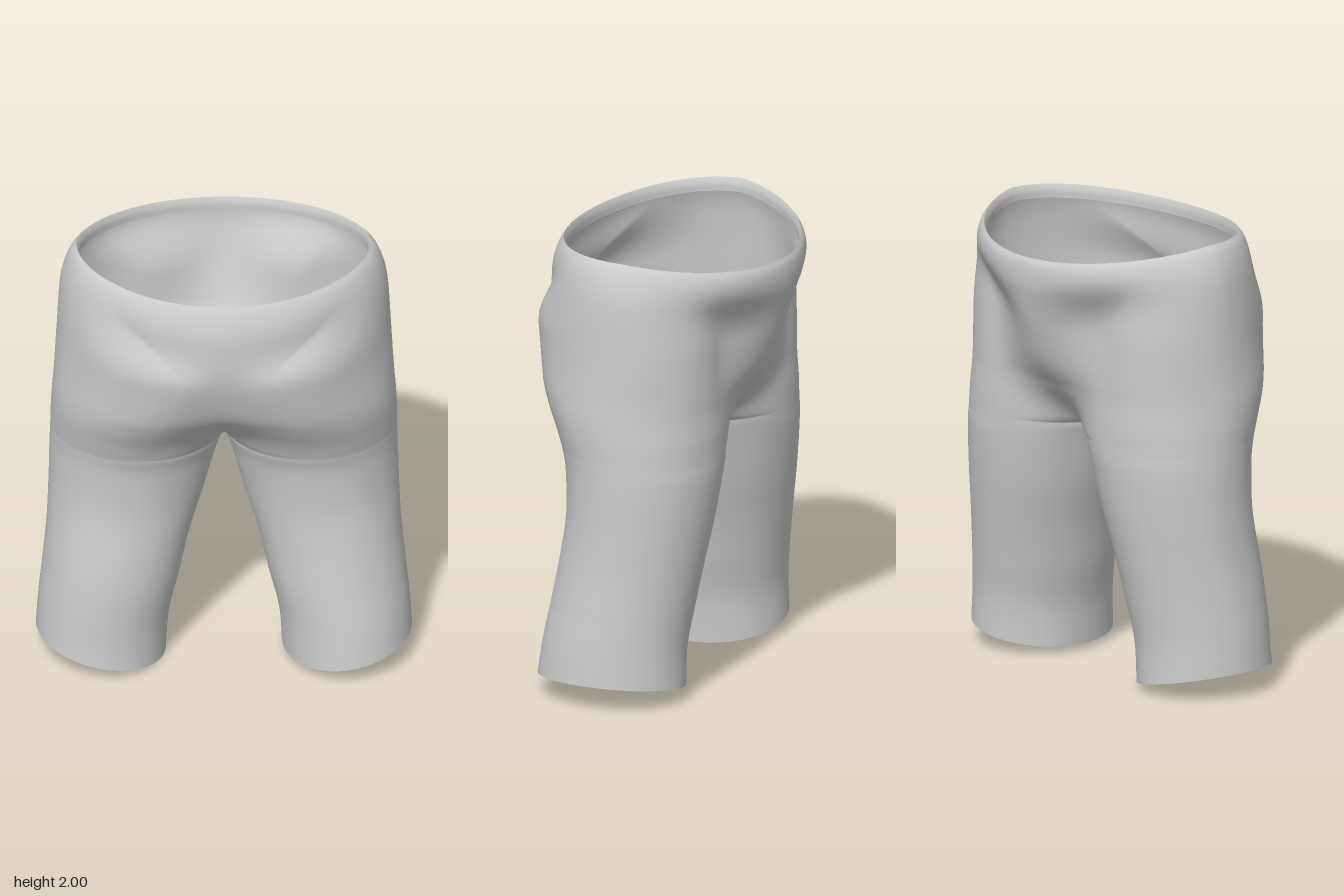
import * as THREE from 'three';
import { mergeVertices } from 'three/addons/utils/BufferGeometryUtils.js';

const COLS = 64, STEPS = 5, CROTCH = 1.09;

// Height, inner x, outer x, front lobe z, back lobe z, centre-line front z, centre-line back z
const KEYS = [
  [0.00, 0.250, 0.810, 0.405, -0.25, 0.06, 0.06],
  [0.20, 0.235, 0.800, 0.385, -0.25, 0.06, 0.06],
  [0.40, 0.190, 0.785, 0.36, -0.27, 0.05, 0.05],
  [0.60, 0.145, 0.765, 0.33, -0.30, 0.03, 0.03],
  [0.80, 0.085, 0.755, 0.31, -0.33, 0.01, 0.01],
  [1.00, 0.030, 0.750, 0.322, -0.352, 0, 0],
  [CROTCH, 0, 0.747, 0.343, -0.355, 0, 0],
  [1.12, 0, 0.746, 0.352, -0.355, 0.12, -0.13],
  [1.20, 0, 0.745, 0.388, -0.355, 0.25, -0.24],
  [1.30, 0, 0.740, 0.445, -0.35, 0.38, -0.34],
  [1.40, 0, 0.732, 0.49, -0.35, 0.46, -0.41],
  [1.60, 0, 0.720, 0.535, -0.345, 0.52, -0.48],
  [1.80, 0, 0.708, 0.53, -0.34, 0.525, -0.52],
  [1.90, 0, 0.690, 0.515, -0.345, 0.515, -0.53],
  [1.97, 0, 0.662, 0.49, -0.37, 0.49, -0.525],
  [2.00, 0, 0.635, 0.46, -0.39, 0.47, -0.51],
];

const { lerp, smoothstep } = THREE.MathUtils;

// Smooth interpolation of the key rows
function section(u) {
  const i = Math.min(Math.floor(u), KEYS.length - 2), t = u - i;
  const key = (k) => KEYS[Math.max(0, Math.min(KEYS.length - 1, k))];
  const [a, b, c, d] = [key(i - 1), key(i), key(i + 1), key(i + 2)];
  return b.map((p, k) => p + 0.5 * t * (c[k] - a[k] +
    t * (2 * a[k] - 5 * p + 4 * c[k] - d[k] + t * (3 * (p - c[k]) + d[k] - a[k]))));
}

// One half outline: front centre, round the outer hip, to the back centre
function sectionPoint(u, j, side) {
  let [y, xi, xo, zf, zb, cf, cb] = section(u);
  xi = Math.max(0, xi);
  const isLeg = y <= CROTCH + 1e-6;
  if (isLeg) cf = cb = (cf + cb) / 2;
  if (side < 0) zf -= 0.05 * (1 - smoothstep(y, 0, 0.6));
  const q = COLS / 4;
  const front = j <= COLS / 2;
  const lobe = front ? zf : zb, centre = front ? cf : cb;
  const w = smoothstep(y, CROTCH, 1.6);
  const cx = lerp((xi + xo) / 2, front ? 0.19 : 0.38, w);
  const zMid = lerp((zf + zb) / 2, 0.02, w);
  const t = (front ? j : COLS - j) / q;
  let x, z;
  if (t <= 1) {
    // Round inner leg, cut by the middle above the crotch, easing into a soft valley or bulge
    const zRoot = isLeg ? centre : 0;
    const a0 = Math.asin(Math.min(0.95, (centre - zRoot) / (lobe - zRoot)));
    const a = lerp(a0, Math.PI / 2, t), soft = smoothstep(y, CROTCH, 1.45);
    x = lerp(cx - (cx - xi) * Math.cos(a) / Math.cos(a0), xi + (cx - xi) * t, soft);
    z = lerp(zRoot + (lobe - zRoot) * Math.sin(a), centre + (lobe - centre) * smoothstep(t, 0, 1), soft);
  } else {
    // Outer leg and hip, tapering more on the seat
    const a = (t - 1) * Math.PI / 2;
    x = cx + (xo - cx) * Math.sin(a);
    z = zMid + (lobe - zMid) * Math.max(0, Math.cos(a)) ** (front ? 1 + 0.2 * w : 1);
  }
  // Towards the waist the outline becomes one oval, narrower at the back
  const p = j / COLS * Math.PI, c = Math.cos(p), ww = smoothstep(y, 1.6, 1.97);
  x = lerp(x, xo * Math.sin(p), ww);
  z = lerp(z, centre * Math.abs(c) ** (front ? 1.05 : 1.2), ww);
  // Slanted leg hem and dipping waist edge
  if (y < 0.4) y += lerp(side > 0 ? 0.03 : 0.005, 0.12, (x - xi) / (xo - xi)) * (1 - y / 0.4);
  const drop = z > 0 ? 0.04 * (z / 0.47) ** 2 : 0.085 * (-z / 0.51) ** 1.2;
  y -= drop * smoothstep(y, 1.5, 2);
  return [side * x, y, z];
}

// Stitches rows of points for both mirrored halves into one smooth surface
function mirroredSheet(rows, pointAt) {
  const pos = [], index = [];
  for (const side of [1, -1]) {
    const base = pos.length / 3;
    for (let r = 0; r < rows; r++)
      for (let j = 0; j <= COLS; j++) pos.push(...pointAt(r, j, side));
    for (let r = 0; r < rows - 1; r++)
      for (let j = 0; j < COLS; j++) {
        const a = base + r * (COLS + 1) + j, b = a + 1, c = a + COLS + 1, d = c + 1;
        if (side > 0) index.push(a, b, d, a, d, c);
        else index.push(a, d, b, a, c, d);
      }
  }
  const geo = new THREE.BufferGeometry();
  geo.setAttribute('position', new THREE.Float32BufferAttribute(pos, 3));
  geo.setIndex(index);
  const merged = mergeVertices(geo, 1e-4);
  merged.computeVertexNormals();
  return merged;
}

export function createModel() {
  const group = new THREE.Group();
  group.name = 'shorts';
  const material = new THREE.MeshStandardMaterial({ color: 0xcccccc, side: THREE.DoubleSide });
  const add = (name, geometry) => {
    const mesh = new THREE.Mesh(geometry, material);
    mesh.name = name;
    group.add(mesh);
  };
  const last = KEYS.length - 1;

  // Seat and both legs
  add('seatAndLegs', mirroredSheet(last * STEPS + 1, (r, j, side) => sectionPoint(r / STEPS, j, side)));

  // Narrow fold turned inwards at the waist
  add('waistFold', mirroredSheet(4, (r, j, side) => {
    const [x, y, z] = sectionPoint(last, j, side);
    const s = 1 - 0.02 * Math.min(r, 1);
    return [x * s, y - 0.02 * r, z * s];
  }));
  return group;
}
